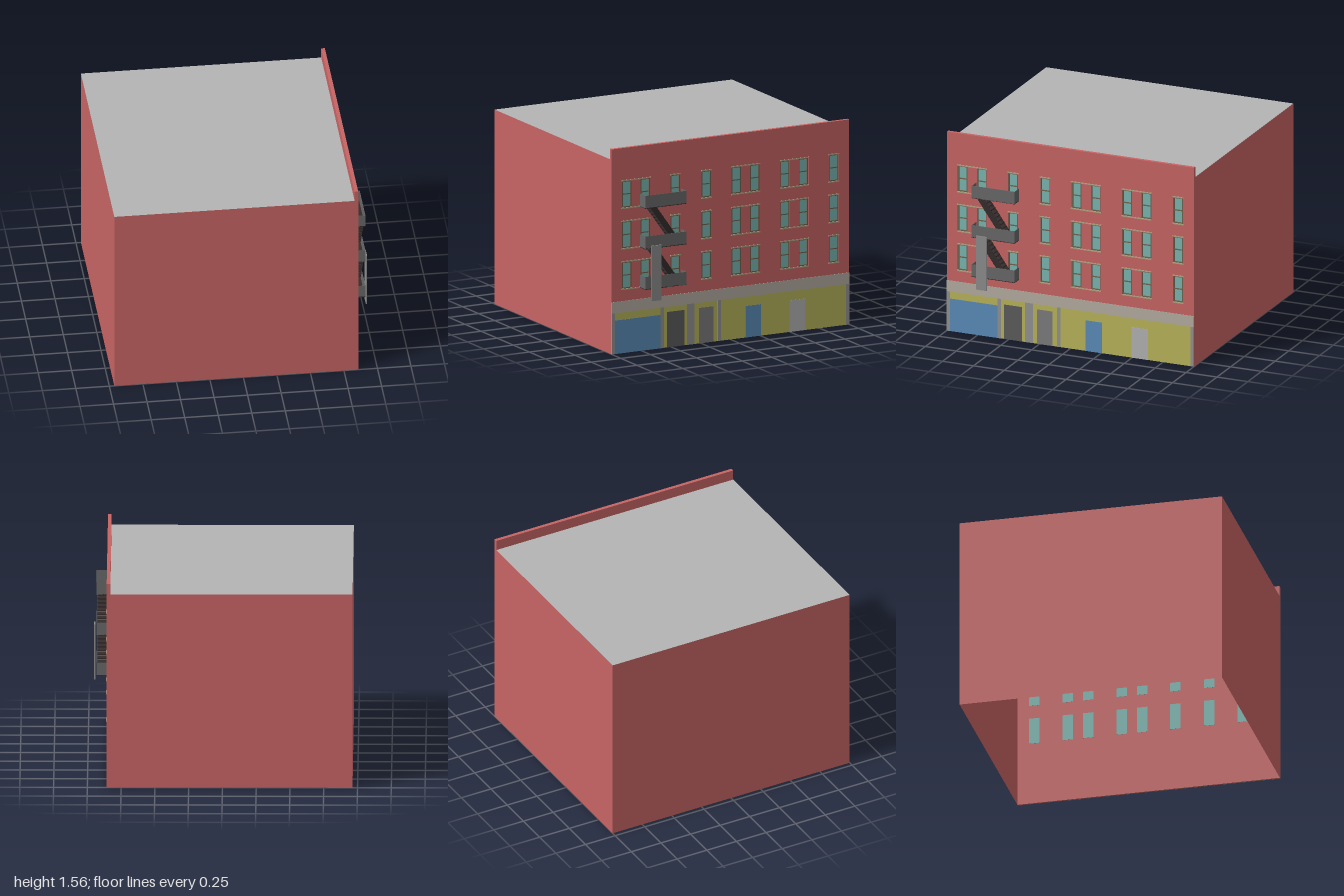
import * as THREE from 'three';

const FACE = 0.857, BACK = -0.963, ROOF = 1.48, TOP = 1.56;
const mat = (color) => new THREE.MeshStandardMaterial({ color, side: THREE.DoubleSide });
const M = {
  brick: mat(0xc86464), roof: mat(0xb4b4b4), trim: mat(0xb5aca0), sill: mat(0xb4a685),
  frame: mat(0x6e6450), glass: mat(0x7ab6b0), shop: mat(0xb8b45a), blue: mat(0x5a8cb8),
  pillar: mat(0x929292), darkDoor: mat(0x5c5c5c), greyDoor: mat(0x7c7c7c), paleDoor: mat(0xb2b2b2),
  rail: mat(0x686868), iron: mat(0x352c2c), ladder: mat(0x8c8c8c),
};

function add(parent, name, geometry, material) {
  const mesh = new THREE.Mesh(geometry, material);
  mesh.name = name;
  parent.add(mesh);
  return mesh;
}

// box given by its extents on each axis
function block(parent, name, material, [x0, x1], [y0, y1], [z0, z1]) {
  const geo = new THREE.BoxGeometry(Math.abs(x1 - x0), Math.abs(y1 - y0), Math.abs(z1 - z0));
  geo.translate((x0 + x1) / 2, (y0 + y1) / 2, (z0 + z1) / 2);
  return add(parent, name, geo, material);
}

// outline drawn in the facade plane (z, y)
function outline(points, Type = THREE.Shape) {
  return new Type(points.map(([z, y]) => new THREE.Vector2(-z, y)));
}
const rect = (z0, z1, y0, y1) => [[z0, y0], [z1, y0], [z1, y1], [z0, y1]];

// extrude a facade outline from x0 to x1
function slab(parent, name, material, shape, x0, x1) {
  const geo = new THREE.ExtrudeGeometry(shape, { depth: x1 - x0, bevelEnabled: false });
  geo.rotateY(Math.PI / 2).translate(x0, 0, 0);
  return add(parent, name, geo, material);
}

const WINDOW_GROUPS = [[0.872, 0.717], [0.463], [0.203], [-0.05, -0.206], [-0.46, -0.615], [-0.872]];
const FLOORS = [0.488, 0.796, 1.105];
const WIN_W = 0.08, WIN_H = 0.204;

function buildShell(root) {
  const shell = new THREE.Group();
  shell.name = 'buildingShell';
  root.add(shell);
  const width = FACE - BACK, midX = (FACE + BACK) / 2;
  // open-bottomed walls and roof
  for (const side of [1, -1]) {
    const wall = add(shell, side > 0 ? 'frontWall' : 'backWall', new THREE.PlaneGeometry(width, ROOF), M.brick);
    wall.position.set(midX, ROOF / 2, side);
    if (side < 0) wall.rotation.y = Math.PI;
  }
  const rear = add(shell, 'rearWall', new THREE.PlaneGeometry(2, ROOF), M.brick);
  rear.rotation.y = -Math.PI / 2;
  rear.position.set(BACK, ROOF / 2, 0);
  const roof = add(shell, 'roof', new THREE.PlaneGeometry(width, 2), M.roof);
  roof.rotation.x = -Math.PI / 2;
  roof.position.set(midX, ROOF, 0);
  block(shell, 'parapet', M.brick, [0.83, FACE], [ROOF, TOP], [-1, 1]);

  // facade pierced by window openings
  const facade = outline(rect(1, -1, 0, ROOF));
  for (const y of FLOORS) for (const z of WINDOW_GROUPS.flat()) {
    facade.holes.push(outline(rect(z - WIN_W / 2, z + WIN_W / 2, y, y + WIN_H), THREE.Path));
  }
  slab(shell, 'facade', M.brick, facade, FACE - 0.012, FACE);
}

function buildWindow(parent, z, y) {
  const win = new THREE.Group();
  win.name = 'window';
  parent.add(win);
  const z0 = z - WIN_W / 2, z1 = z + WIN_W / 2, y1 = y + WIN_H, t = 0.009, mid = y + WIN_H / 2;
  block(win, 'glass', M.glass, [FACE - 0.014, FACE - 0.011], [y, y1], [z0, z1]);
  const ring = outline(rect(z1, z0, y, y1));
  ring.holes.push(outline(rect(z0 + t, z1 - t, y + t, y1 - t), THREE.Path));
  slab(win, 'windowFrame', M.frame, ring, FACE - 0.011, FACE - 0.003);
  block(win, 'meetingRail', M.frame, [FACE - 0.011, FACE - 0.005], [mid - 0.004, mid + 0.004], [z0 + t, z1 - t]);
}

function buildWindows(root) {
  const windows = new THREE.Group();
  windows.name = 'windows';
  root.add(windows);
  for (const y of FLOORS) for (const group of WINDOW_GROUPS) {
    group.forEach((z) => buildWindow(windows, z, y));
    // shared lintel and sill
    const span = [Math.min(...group) - 0.045, Math.max(...group) + 0.045];
    block(windows, 'lintel', M.sill, [FACE - 0.005, FACE + 0.004], [y + WIN_H - 0.002, y + WIN_H + 0.007], span);
    block(windows, 'sill', M.sill, [FACE - 0.005, FACE + 0.004], [y - 0.008, y + 0.001], span);
  }
}

function buildStorefront(root) {
  const shop = new THREE.Group();
  shop.name = 'storefront';
  root.add(shop);
  const panel = (name, m, z, h, out = 0.003) =>
    block(shop, name, m, [FACE - 0.004, FACE + out], [0, h], z);
  panel('shopWall', M.shop, [-1, 1], 0.31, 0.001);
  block(shop, 'fasciaBand', M.trim, [FACE - 0.004, FACE + 0.003], [0.31, 0.396], [-1, 1]);
  panel('shopWindow', M.blue, [0.59, 0.972], 0.255);
  for (const z of [[0.972, 1], [0.56, 0.59], [0.303, 0.366], [0.08, 0.108], [-1, -0.972]]) {
    panel('pillar', M.pillar, z, 0.31);
  }
  panel('darkDoor', M.darkDoor, [0.39, 0.535], 0.27);
  panel('greyDoor', M.greyDoor, [0.144, 0.267], 0.27);
  panel('blueDoor', M.blue, [-0.257, -0.123], 0.24);
  panel('paleDoor', M.paleDoor, [-0.63, -0.497], 0.24);
}

function buildFireEscape(root) {
  const escape = new THREE.Group();
  escape.name = 'fireEscape';
  root.add(escape);
  const OUT = 0.94, Z0 = 0.415, Z1 = 0.762, H = 0.098, t = 0.003;
  const levels = [0.481, 0.789, 1.098];
  // open-topped balconies
  for (const y of levels) {
    block(escape, 'balconyFloor', M.iron, [FACE, OUT], [y, y + 0.005], [Z0, Z1]);
    block(escape, 'outerRailing', M.rail, [OUT - t, OUT], [y, y + H], [Z0, Z1]);
    block(escape, 'endRailing', M.rail, [FACE, OUT - t], [y, y + H], [Z0, Z0 + t]);
    block(escape, 'endRailing', M.rail, [FACE, OUT - t], [y, y + H], [Z1 - t, Z1]);
  }
  // stair flights between balconies
  const steps = 12, zLow = 0.47, zHigh = 0.69, half = 0.028;
  for (const y of levels.slice(0, 2)) {
    const rise = levels[1] - levels[0];
    for (let i = 1; i < steps; i++) {
      const k = i / steps, ty = y + rise * k, tz = zLow + (zHigh - zLow) * k;
      block(escape, 'stairTread', M.iron, [FACE + 0.002, OUT - 0.004], [ty - 0.004, ty + 0.004], [tz - half, tz + half]);
    }
    const side = outline([[zLow + half, y], [zLow - half, y], [zHigh - half, y + rise], [zHigh + half, y + rise]]);
    for (const x of [FACE + 0.002, OUT - 0.006]) slab(escape, 'stairStringer', M.iron, side, x, x + 0.002);
  }
  block(escape, 'dropLadder', M.ladder, [0.948, 0.958], [0.393, 0.814], [0.634, 0.72]);
}

export function createModel() {
  const root = new THREE.Group();
  root.name = 'cornerBuilding';
  buildShell(root);
  buildWindows(root);
  buildStorefront(root);
  buildFireEscape(root);
  return root;
}
